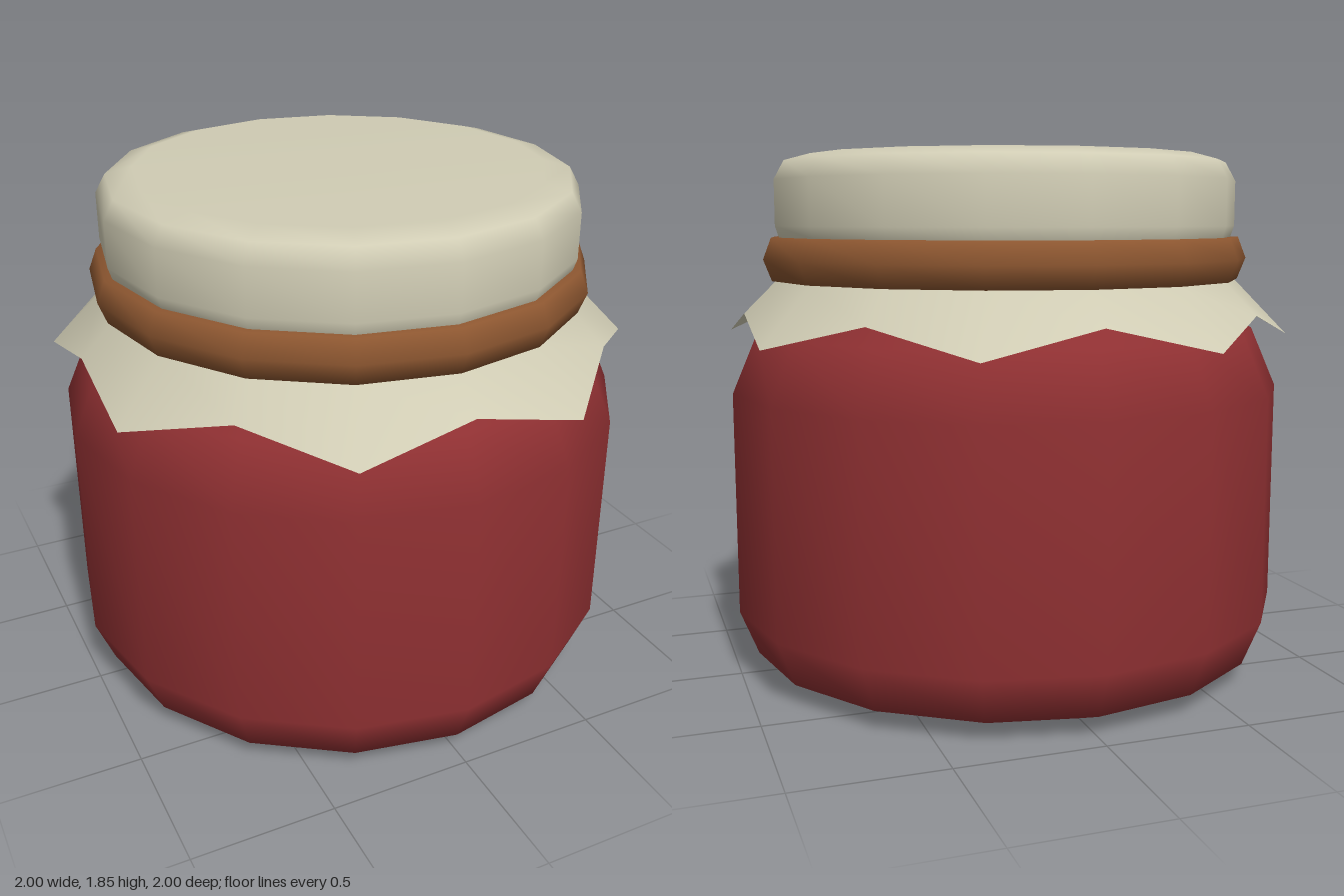
import * as THREE from 'three';
import { mergeVertices } from 'three/addons/utils/BufferGeometryUtils.js';

const SIDES = 16;

const material = (name, color, side = THREE.FrontSide) =>
  Object.assign(new THREE.MeshStandardMaterial({ color, side }), { name });

// Turned part from [radius, height] pairs, listed bottom to top
const lathe = (profile) =>
  new THREE.LatheGeometry(profile.map(([r, y]) => new THREE.Vector2(r, y)), SIDES);

// Cloth skirt: the lower rim zigzags between short and long points
function skirtGeometry() {
  const rows = [[0.952, 1.3], [0.84, 1.41], [0.81, 1.48]];
  let geometry = lathe(rows);
  const pos = geometry.attributes.position;
  for (let i = 1; i < SIDES; i += 2) {
    const a = (i / SIDES) * Math.PI * 2;
    pos.setXYZ(i * rows.length, Math.sin(a) * 1.034, 1.21, Math.cos(a) * 1.034);
  }
  geometry.deleteAttribute('uv');
  geometry.deleteAttribute('normal');
  geometry = mergeVertices(geometry, 1e-4);
  geometry.computeVertexNormals();
  return geometry;
}

export function createModel() {
  const group = new THREE.Group();
  group.name = 'jamJar';

  const red = material('jam red', 0x8f3032);
  const cloth = material('cream cloth', 0xd0ccb4, THREE.DoubleSide);
  const brown = material('brown band', 0x8c5630);

  const add = (name, geometry, mat) => {
    const mesh = new THREE.Mesh(geometry, mat);
    mesh.name = name;
    group.add(mesh);
  };

  // Jar body with rounded base and shoulder, closed under the lid
  add('jarBody', lathe([
    [0, 0], [0.77, 0], [0.935, 0.07], [1, 0.23], [1, 1.02],
    [0.91, 1.23], [0.76, 1.31], [0.74, 1.42], [0, 1.42],
  ]), red);

  // Cloth cover: zigzag skirt below the band, puffed cap above it
  add('clothSkirt', skirtGeometry(), cloth);
  add('clothCap', lathe([
    [0.8, 1.5], [0.825, 1.56], [0.838, 1.6], [0.838, 1.76],
    [0.802, 1.825], [0.71, 1.85], [0, 1.85],
  ]), cloth);

  // Band tied around the neck
  add('band', lathe([
    [0.78, 1.41], [0.853, 1.41], [0.882, 1.485], [0.853, 1.56], [0.78, 1.56],
  ]), brown);

  return group;
}
